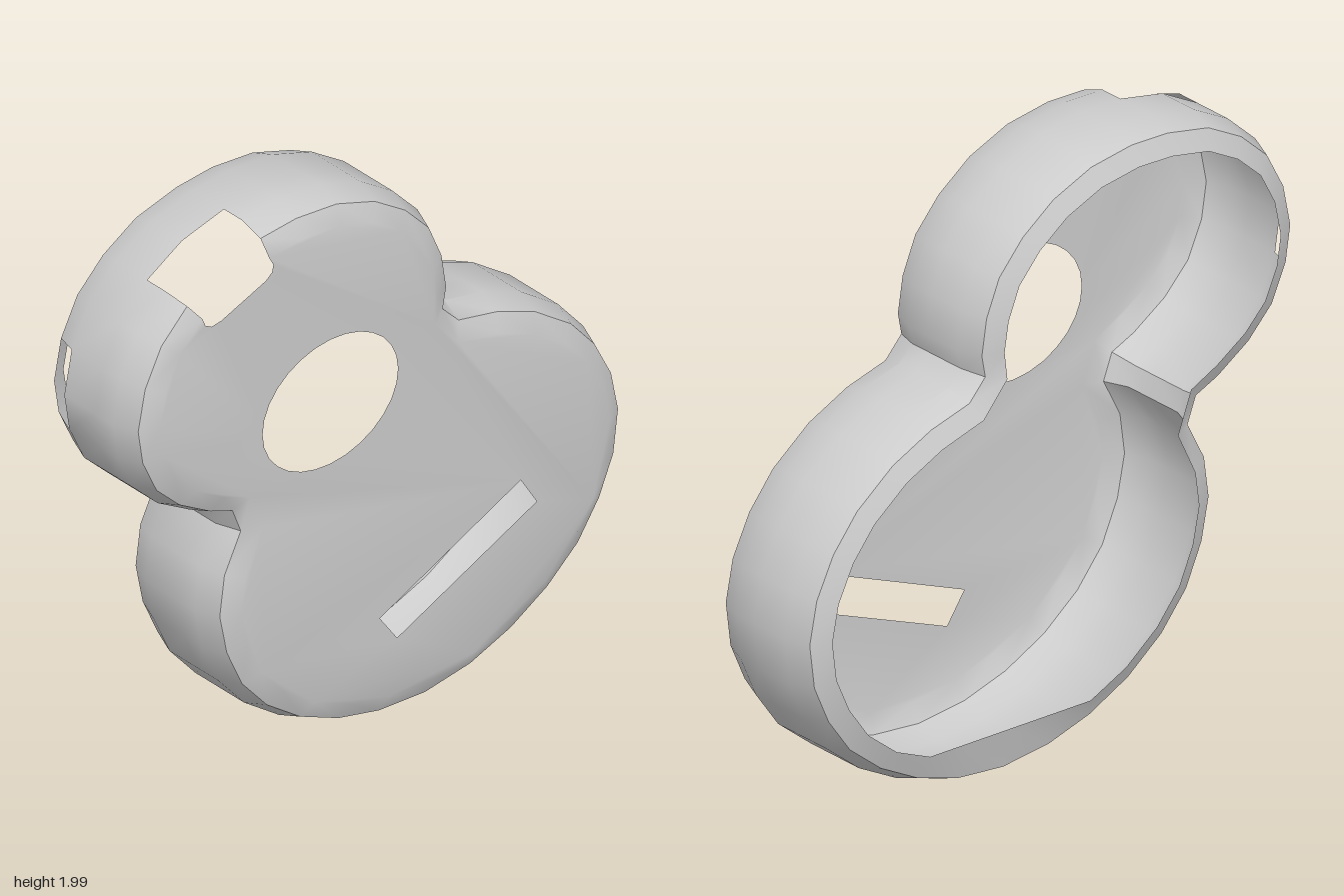
import * as THREE from 'three';
import { mergeGeometries, toCreasedNormals } from 'three/addons/utils/BufferGeometryUtils.js';

// Two-lobed outline, clockwise from the leftmost point
const outline = [
  [-1, 1.47], [-0.97, 1.62], [-0.9, 1.755], [-0.79, 1.86], [-0.65, 1.94], [-0.48, 1.98], [-0.33, 1.99],
  [-0.16, 1.97], [0, 1.91], [0.13, 1.82], [0.23, 1.71], [0.285, 1.58], [0.305, 1.45], [0.29, 1.385],
  [0.34, 1.335], [0.49, 1.3], [0.65, 1.23], [0.8, 1.12], [0.9, 1], [0.97, 0.86], [1, 0.71],
  [0.98, 0.55], [0.92, 0.41], [0.83, 0.28], [0.7, 0.17], [0.55, 0.085], [0.38, 0.025], [0.19, 0],
  [0, 0.015], [-0.17, 0.06], [-0.33, 0.135], [-0.47, 0.24], [-0.575, 0.365], [-0.64, 0.51],
  [-0.67, 0.66], [-0.65, 0.81], [-0.585, 0.935], [-0.61, 1.0], [-0.69, 1.03], [-0.82, 1.11],
  [-0.92, 1.21], [-0.98, 1.34],
].map(([x, y]) => new THREE.Vector2(x, y));
const N = outline.length;
const NOTCH_START = 3, NOTCH_END = 5;

// Outline moved inward by d
function inset(d) {
  return outline.map((p, i) => {
    const t1 = p.clone().sub(outline[(i + N - 1) % N]).normalize();
    const t2 = outline[(i + 1) % N].clone().sub(p).normalize();
    const t = t1.add(t2).normalize();
    return new THREE.Vector2(p.x + t.y * d, p.y - t.x * d);
  });
}

// Strip of quads through rows of { points, z }; skip(i, j) leaves an opening
function loft(rows, skip) {
  const pos = [], index = [];
  for (const { points, z } of rows) for (const p of points) pos.push(p.x, p.y, z);
  for (let j = 0; j < rows.length - 1; j++) {
    for (let i = 0; i < N; i++) {
      if (skip(i, j)) continue;
      const k = (i + 1) % N;
      const a = j * N + i, b = j * N + k, c = a + N, d = b + N;
      index.push(a, b, c, b, d, c);
    }
  }
  const g = new THREE.BufferGeometry();
  g.setAttribute('position', new THREE.Float32BufferAttribute(pos, 3));
  g.setIndex(index);
  return g;
}

const inNotch = (i) => i >= NOTCH_START && i < NOTCH_END;

export function createModel() {
  const group = new THREE.Group();
  const material = new THREE.MeshStandardMaterial({ color: 0xcccccc, side: THREE.DoubleSide });
  const add = (name, geometry) => {
    const mesh = new THREE.Mesh(toCreasedNormals(geometry, 0.62), material);
    mesh.name = name;
    group.add(mesh);
  };
  const row = (d, z) => ({ points: inset(d), z });

  // Side wall, with the upper port notch and a small slit at the far side
  const wallRows = [row(0.03, 0.19), row(0, 0.11), row(0, 0.03), row(0, -0.11), row(0.03, -0.19)];
  add('sideWall', loft(wallRows, (i, j) =>
    (j < 2 && inNotch(i)) || (j === 3 && (i === 0 || i === N - 1))));

  // Back lip curling inward, straight along the bottom
  const lip = row(0.095, -0.22);
  for (const p of lip.points) p.y = Math.max(p.y, 0.16 + 0.05 * p.x);
  add('backLip', loft([row(0.03, -0.19), lip], () => false));

  // Front plate with bevelled edge, round window, slanted slot and notch
  const edge = inset(0.09);
  const notch = [[-0.725, 1.76], [-0.7, 1.745], [-0.66, 1.75], [-0.48, 1.815], [-0.455, 1.835], [-0.45, 1.86]]
    .map(([x, y]) => new THREE.Vector2(x, y));
  const plateShape = new THREE.Shape([
    ...edge.slice(0, NOTCH_START + 1), ...notch, ...edge.slice(NOTCH_END),
  ]);
  const windowHole = new THREE.Path().absellipse(-0.22, 1.267, 0.274, 0.223, 0, Math.PI * 2);
  const slot = new THREE.Path([[-0.02, 0.4], [0.55, 0.65], [0.615, 0.545], [0.05, 0.3]]
    .map(([x, y]) => new THREE.Vector2(x, y)));
  plateShape.holes.push(windowHole, slot);
  const plate = new THREE.ShapeGeometry(plateShape, 14).translate(0, 0, 0.22);
  plate.deleteAttribute('uv');
  plate.deleteAttribute('normal');
  const bevel = loft([{ points: edge, z: 0.22 }, row(0.03, 0.19)], inNotch);
  add('frontPlate', mergeGeometries([plate, bevel]));

  return group;
}
